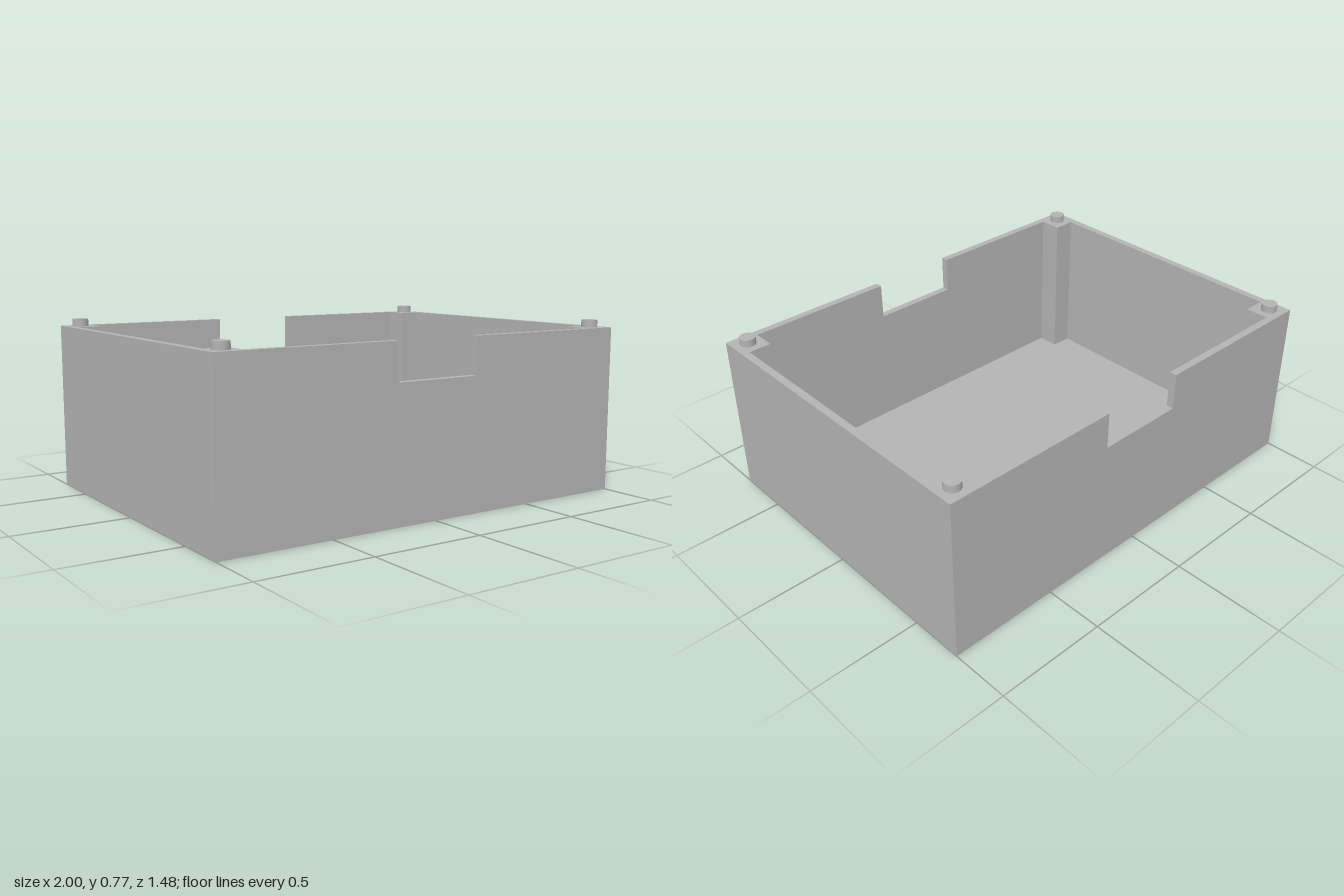
import * as THREE from 'three';

export function createModel() {
  const model = new THREE.Group();
  model.name = 'stackingBox';
  const grey = new THREE.MeshStandardMaterial({ color: 0xb3b3b3 });
  grey.name = 'plain grey';

  const W = 1, D = 0.74;             // outer half sizes
  const w = 0.966, d = 0.707;        // inner half sizes
  const postX = 0.865, postZ = 0.603; // inner faces of the corner posts
  const floorTop = 0.033, notchY = 0.577, rimY = 0.74, pegTop = 0.773;
  const notch = 0.2;                 // half width of the notches
  const pegX = 0.932, pegZ = 0.672, pegR = 0.035;
  const corners = [[1, 1], [-1, 1], [-1, -1], [1, -1]];

  const points = list => list.map(([x, y]) => new THREE.Vector2(x, y));

  // Raise a plan outline from y0 to y1
  function slab(name, shape, y0, y1) {
    const geo = new THREE.ExtrudeGeometry(shape, { depth: y1 - y0, bevelEnabled: false, curveSegments: 24 });
    geo.rotateX(-Math.PI / 2).translate(0, y0, 0);
    const mesh = new THREE.Mesh(geo, grey);
    mesh.name = name;
    model.add(mesh);
  }

  const outer = () => new THREE.Shape(points(corners.map(([sx, sz]) => [sx * W, sz * D])));

  // Floor with a round socket under each corner
  const floor = outer();
  for (const [sx, sz] of corners) {
    const hole = new THREE.Path();
    hole.absarc(sx * pegX, sz * pegZ, pegR, 0, Math.PI * 2, true);
    floor.holes.push(hole);
  }
  slab('floor', floor, 0, floorTop);

  // Inner outline on one side, stepping around both corner posts
  const innerSide = s => [
    [s * postX, -d], [s * postX, -postZ], [s * w, -postZ],
    [s * w, postZ], [s * postX, postZ], [s * postX, d],
  ];

  // Walls and posts up to the bottom of the notches
  const ring = outer();
  ring.holes.push(new THREE.Path(points([...innerSide(1), ...innerSide(-1).reverse()])));
  slab('lowerWalls', ring, floorTop, notchY);

  // Upper walls, parted by the front and back notches
  for (const s of [1, -1]) {
    const half = new THREE.Shape(points([
      [s * notch, -D], [s * W, -D], [s * W, D], [s * notch, D], [s * notch, d],
      ...innerSide(s).reverse(), [s * notch, -d],
    ]));
    slab(s > 0 ? 'leftUpperWall' : 'rightUpperWall', half, notchY, rimY);
  }

  // Stacking pegs on the posts
  const pegGeo = new THREE.CylinderGeometry(pegR, pegR, pegTop - rimY, 32);
  for (const [sx, sz] of corners) {
    const peg = new THREE.Mesh(pegGeo, grey);
    peg.name = 'stackingPeg';
    peg.position.set(sx * pegX, (rimY + pegTop) / 2, sz * pegZ);
    model.add(peg);
  }
  return model;
}
